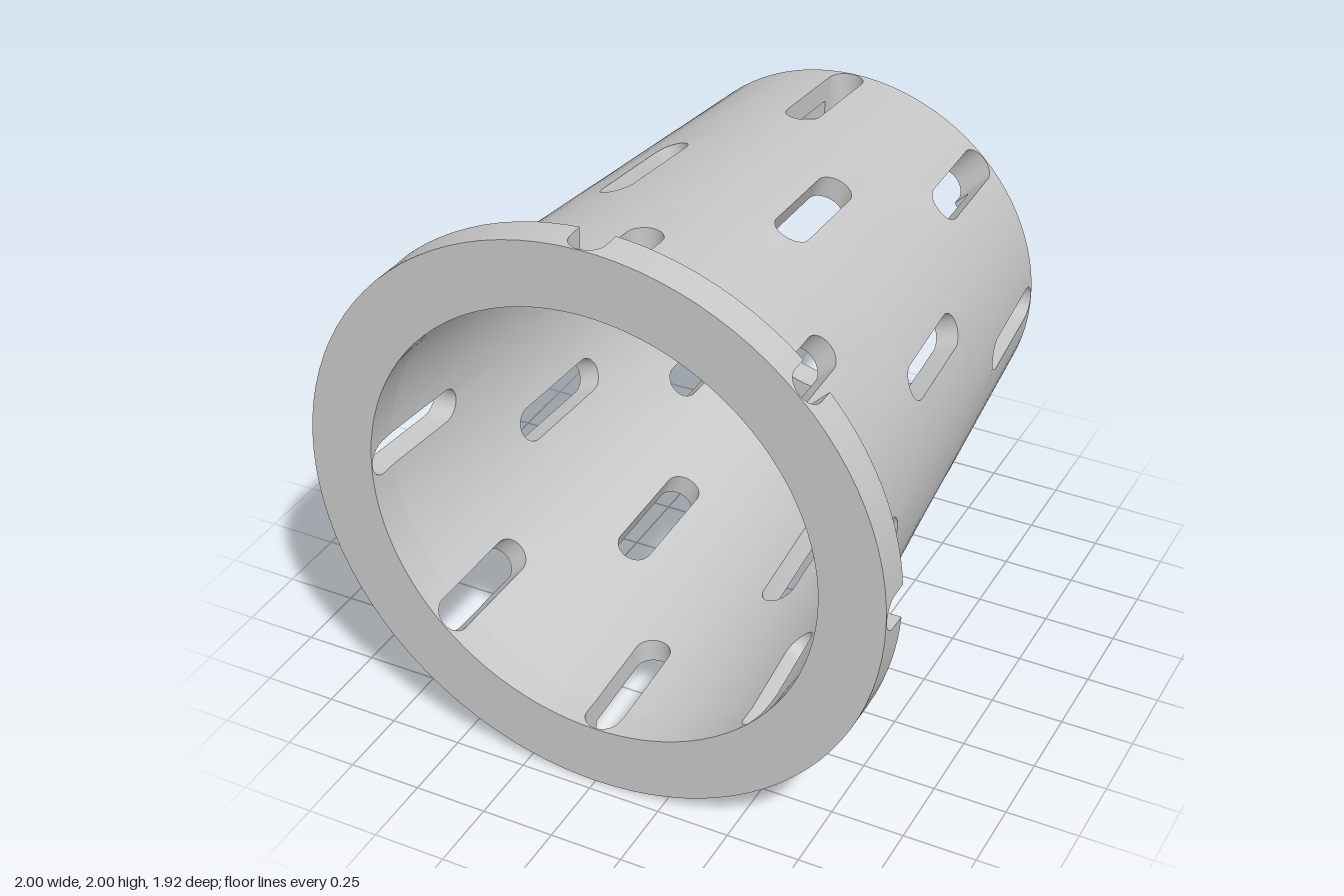
import * as THREE from 'three';
import { toCreasedNormals } from 'three/addons/utils/BufferGeometryUtils.js';

// Sizes: the sleeve's axis runs along z
const FRONT = 0.96, BACK = -0.96, FLANGE_Z = 0.84, LIP_Z = -0.86;
const SLOT_R = 0.06, SECTORS = 16, HALF = Math.PI / SECTORS, STEPS = 3, ARC = 8;

// Slot rows [zMin, zMax]: even sectors hold an end pair, odd sectors a middle slot
const ROWS = [[[-0.955, -0.5], [0.5, 0.955]], [[-0.227, 0.227]]];

// z stations along one slot, dense over its rounded ends
function slotStations([z0, z1]) {
  const out = [];
  for (let i = 0; i <= ARC; i++) {
    const d = SLOT_R * (1 - Math.cos((i / ARC) * Math.PI / 2));
    out.push(z0 + d, z1 - d);
  }
  return out.sort((a, b) => a - b);
}

// Half width of a slot at height z, zero outside it
function halfWidth(rows, z) {
  for (const [z0, z1] of rows) {
    if (z <= z0 || z >= z1) continue;
    const d = Math.max(z0 + SLOT_R - z, z - (z1 - SLOT_R), 0);
    return Math.sqrt(Math.max(SLOT_R * SLOT_R - d * d, 0));
  }
  return 0;
}

const STATIONS = ROWS.flat().flatMap(slotStations).concat(FLANGE_Z, LIP_Z).sort((a, b) => a - b);

const point = (r, a, z) => [r * Math.cos(a), r * Math.sin(a), z];
const quad = (out, a, b, c, d) => out.push(...a, ...b, ...c, ...a, ...c, ...d);

// Cut a profile of [r, z] points at every station it passes
function subdivide(profile) {
  const pts = [profile[0]];
  for (let i = 1; i < profile.length; i++) {
    const [r0, z0] = profile[i - 1], [r1, z1] = profile[i];
    const cuts = STATIONS.filter(z => (z - z0) * (z1 - z) > 1e-8);
    if (z1 < z0) cuts.reverse();
    for (const z of cuts) pts.push([r0 + (r1 - r0) * (z - z0) / (z1 - z0), z]);
    pts.push(profile[i]);
  }
  return pts;
}

// Revolve a profile, leaving the slots open
function slottedRevolve(profile) {
  const pts = subdivide(profile), out = [];
  for (let k = 0; k < SECTORS; k++) {
    const mid = 2 * HALF * k;
    for (const side of [-1, 1]) {
      const row = ([r, z]) => {
        const s = Math.asin(halfWidth(ROWS[k % 2], z) / r), line = [];
        for (let j = 0; j <= STEPS; j++) {
          const t = side > 0 ? j / STEPS : 1 - j / STEPS;
          line.push(point(r, mid + side * (s + (HALF - s) * t), z));
        }
        return line;
      };
      for (let i = 1; i < pts.length; i++) {
        const p = row(pts[i - 1]), q = row(pts[i]);
        for (let j = 0; j < STEPS; j++) quad(out, p[j], p[j + 1], q[j + 1], q[j]);
      }
    }
  }
  return out;
}

// Inner and outer radii at z; m picks the side of a step
const coneOuter = z => 0.70 + 0.165 * (z - BACK) / (FLANGE_Z - BACK);
const coneInner = z => 0.63 + 0.15 * (z - LIP_Z) / (FLANGE_Z - LIP_Z);
const outerR = (z, m) => (m > FLANGE_Z ? 1 : coneOuter(z));
const innerR = (z, m) => (m > FLANGE_Z ? 0.78 : m < LIP_Z ? 0.56 : coneInner(z));

// Walls through the thickness, around each slot
function slotWalls() {
  const out = [];
  for (let k = 0; k < SECTORS; k++) {
    const rows = ROWS[k % 2], mid = 2 * HALF * k;
    for (const [s0, s1] of rows) {
      const zs = STATIONS.filter(z => z >= s0 && z <= s1);
      for (let i = 1; i < zs.length; i++) {
        const z0 = zs[i - 1], z1 = zs[i], m = (z0 + z1) / 2;
        if (z1 - z0 < 1e-6) continue;
        for (const side of [-1, 1]) {
          const at = (r, z) => point(r, mid + side * Math.asin(halfWidth(rows, z) / r), z);
          const a = at(innerR(z0, m), z0), b = at(innerR(z1, m), z1);
          const c = at(outerR(z1, m), z1), d = at(outerR(z0, m), z0);
          if (side > 0) quad(out, a, d, c, b);
          else quad(out, a, b, c, d);
        }
      }
    }
  }
  return out;
}

export function createModel() {
  const group = new THREE.Group();
  group.name = 'slottedTaperedSleeve';
  const grey = new THREE.MeshStandardMaterial({ color: 0xc8c8c8 });
  grey.name = 'lightGrey';

  const add = (name, positions) => {
    const g = new THREE.BufferGeometry();
    g.setAttribute('position', new THREE.Float32BufferAttribute(positions, 3));
    const mesh = new THREE.Mesh(toCreasedNormals(g, 0.6), grey);
    mesh.name = name;
    mesh.position.y = 1;
    group.add(mesh);
  };

  // Tapered outside
  add('outerCone', slottedRevolve([[0.70, BACK], [0.865, FLANGE_Z]]));
  // Wide ring at the front
  add('flange', slottedRevolve([[0.865, FLANGE_Z], [1, FLANGE_Z], [1, FRONT], [0.78, FRONT], [0.78, FLANGE_Z]]));
  // Tapered inside
  add('innerCone', slottedRevolve([[0.78, FLANGE_Z], [0.63, LIP_Z]]));
  // Narrow inward lip and rear face
  add('rearLip', slottedRevolve([[0.63, LIP_Z], [0.56, LIP_Z], [0.56, BACK], [0.70, BACK]]));
  add('slotWalls', slotWalls());
  return group;
}
